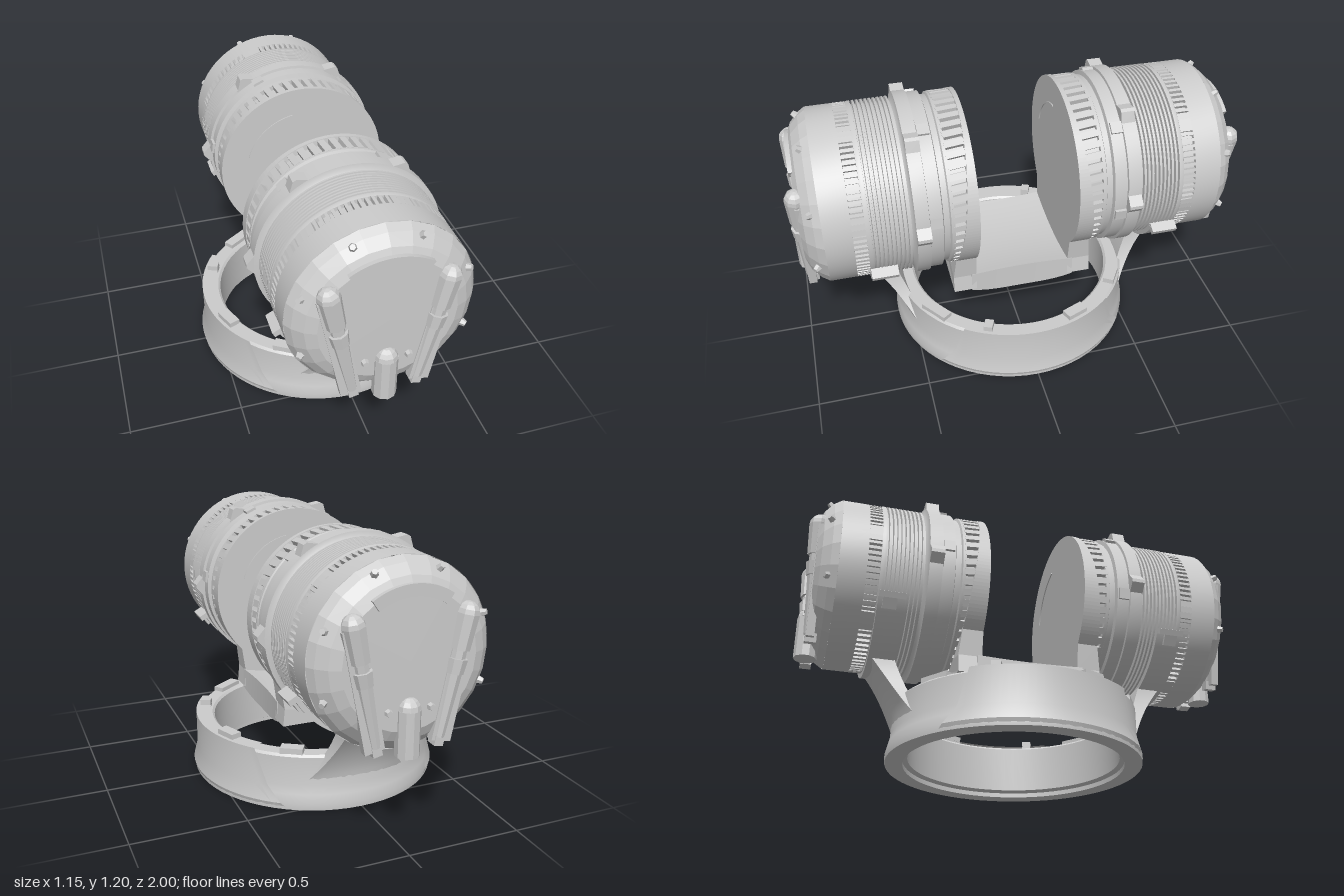
import * as THREE from 'three';
import { toCreasedNormals } from 'three/addons/utils/BufferGeometryUtils.js';

const smooth = new THREE.MeshStandardMaterial({ color: 0xcccccc, side: THREE.DoubleSide });
const flat = new THREE.MeshStandardMaterial({ color: 0xcccccc, flatShading: true, side: THREE.DoubleSide });
const CY = 0.79; // height of the pod axis
const rad = THREE.MathUtils.degToRad;

function add(parent, name, geo, mat = flat, x = 0, y = 0, z = 0) {
  const m = new THREE.Mesh(geo, mat);
  m.name = name;
  m.position.set(x, y, z);
  parent.add(m);
  return m;
}

const lathe = (pts, seg, start = 0, len = Math.PI * 2) =>
  new THREE.LatheGeometry(pts.map(([r, h]) => new THREE.Vector2(r, h)), seg, start, len);
const zLathe = (pts, seg) => toCreasedNormals(lathe(pts, seg).rotateX(Math.PI / 2), 0.5);

// Part of a flat ring, extruded along z
function arcBand(r0, r1, a0, a1, depth) {
  const s = new THREE.Shape();
  s.absarc(0, 0, r1, rad(a0), rad(a1), false);
  s.absarc(0, 0, r0, rad(a1), rad(a0), true);
  return new THREE.ExtrudeGeometry(s, { depth, bevelEnabled: false, curveSegments: 24 });
}

// Block standing on a ring around the z axis
function radialBlock(parent, name, deg, r, size, z) {
  const m = add(parent, name, new THREE.BoxGeometry(...size), flat,
    Math.cos(rad(deg)) * r, Math.sin(rad(deg)) * r, z);
  m.rotation.z = rad(deg);
  return m;
}

function makePod() {
  const pod = new THREE.Group();
  pod.name = 'pod';
  pod.position.y = CY;

  // Body: toothed groove, collar, thin ribs, vent groove and faceted nose
  const prof = [[0, 0.235], [0.366, 0.235], [0.366, 0.325], [0.387, 0.325], [0.387, 0.34],
    [0.376, 0.345], [0.376, 0.37], [0.395, 0.375], [0.395, 0.43], [0.407, 0.432],
    [0.407, 0.49], [0.38, 0.495]];
  for (let i = 0; i < 10; i++) {
    const z = 0.503 + i * 0.018;
    prof.push([0.37, z], [0.37, z + 0.006], [0.388, z + 0.007], [0.388, z + 0.016]);
  }
  prof.push([0.385, 0.692], [0.368, 0.693], [0.368, 0.747], [0.386, 0.748], [0.386, 0.865]);
  add(pod, 'podBody', zLathe(prof, 64), smooth);
  add(pod, 'noseCap', lathe([[0.386, 0.865], [0.365, 0.898], [0.325, 0.935], [0.28, 0.955], [0, 0.957]], 24)
    .rotateX(Math.PI / 2));

  // Teeth of the inner ring, slightly skewed
  for (let i = 0; i < 52; i++) {
    const t = radialBlock(pod, 'ringTooth', i * 360 / 52, 0.374, [0.028, 0.028, 0.092], 0.284);
    t.rotateX(0.1);
  }
  // Bars between the vent slots, with wide bars separating the groups
  for (let i = 0; i < 90; i++) {
    const wide = i % 15 < 3;
    radialBlock(pod, 'ventBar', i * 4 + 8, 0.375, [0.022, wide ? 0.029 : 0.013, 0.056], 0.72);
  }
  // Pointed lugs on the collar
  for (const a of [0, 58, 122, 180]) {
    const s = new THREE.Shape([[0.395, -0.055], [0.437, -0.008], [0.437, 0.008], [0.395, 0.055]]
      .map(([x, y]) => new THREE.Vector2(x, y)));
    const lug = add(pod, 'collarLug', new THREE.ExtrudeGeometry(s, { depth: 0.06, bevelEnabled: false }), flat, 0, 0, 0.43);
    lug.rotation.z = rad(a);
    radialBlock(pod, 'collarPad', a + 8, 0.395, [0.022, 0.05, 0.05], 0.405);
  }

  // Rivets round the nose and on the face
  for (const sx of [-1, 1]) {
    for (const a of [68, 23, -22]) {
      const t = rad(a);
      const rivet = add(pod, 'noseRivet', new THREE.CylinderGeometry(0.012, 0.019, 0.03, 6), flat,
        sx * Math.cos(t) * 0.36, Math.sin(t) * 0.36, 0.908);
      rivet.quaternion.setFromUnitVectors(new THREE.Vector3(0, 1, 0),
        new THREE.Vector3(sx * Math.cos(t), Math.sin(t), 1).normalize());
    }
    add(pod, 'faceRivet', new THREE.CylinderGeometry(0.013, 0.018, 0.025, 6).rotateX(Math.PI / 2),
      flat, sx * 0.09, -0.19, 0.962);

    // Slanted segmented bar on the face
    const bar = new THREE.Group();
    bar.name = 'faceBar';
    bar.position.set(sx * 0.185, -0.085, 0.95);
    bar.rotation.z = -sx * 0.2;
    pod.add(bar);
    add(bar, 'barTray', new THREE.BoxGeometry(0.085, 0.5, 0.035), flat, sx * 0.008, -0.01, -0.008);
    add(bar, 'barHead', new THREE.CylinderGeometry(0.048, 0.042, 0.14, 8), flat, 0, 0.18, 0);
    add(bar, 'barTip', new THREE.SphereGeometry(0.048, 8, 4, 0, Math.PI * 2, 0, Math.PI / 2), flat, 0, 0.25, 0);
    add(bar, 'barNeck', new THREE.CylinderGeometry(0.032, 0.032, 0.1, 8), flat, 0, 0.08, 0);
    add(bar, 'barJoint', new THREE.CylinderGeometry(0.043, 0.038, 0.06, 8), flat, 0, 0.045, 0);
    add(bar, 'barStem', new THREE.CylinderGeometry(0.036, 0.024, 0.26, 8), flat, 0, -0.115, -0.005);
    add(bar, 'barFoot', new THREE.BoxGeometry(0.04, 0.04, 0.05), flat, 0, -0.26, -0.012);
  }
  // Central upright and brow on the face
  add(pod, 'faceUpright', new THREE.CylinderGeometry(0.05, 0.05, 0.19, 10), flat, 0, -0.285, 0.948);
  add(pod, 'faceUprightTip', new THREE.SphereGeometry(0.05, 10, 4, 0, Math.PI * 2, 0, Math.PI / 2), flat, 0, -0.19, 0.948);
  add(pod, 'faceBrow', arcBand(0.25, 0.298, 56, 124, 0.035), flat, 0, 0, 0.93);
  return pod;
}

// Cheek plate: a disc with a foot, thicker towards the bottom
function makeCheekPlate(parent) {
  const s = new THREE.Shape();
  s.moveTo(-0.27, -0.47);
  s.lineTo(0.27, -0.47);
  s.lineTo(0.262, -0.39);
  s.absarc(0, 0, 0.391, -0.78, Math.PI + 0.78, false);
  s.lineTo(-0.262, -0.39);
  const geo = new THREE.ExtrudeGeometry(s, { depth: 1, bevelEnabled: false, curveSegments: 56 });
  const p = geo.attributes.position;
  for (let i = 0; i < p.count; i++) {
    const back = 0.238 + 0.085 * Math.min(1, (0.39 - p.getY(i)) / 0.78);
    p.setZ(i, p.getZ(i) > 0.5 ? back : 0.218);
  }
  geo.computeVertexNormals();
  add(parent, 'cheekPlate', geo, smooth, 0, CY, 0);
  add(parent, 'cheekRidge', arcBand(0.262, 0.27, 15, 80, 0.01), flat, 0, CY, 0.213);
}

// Leaning arm that flares into the base, topped by a curved cradle
function makeArm(parent) {
  const geo = new THREE.BoxGeometry(2, 1, 1, 12, 8, 1);
  const p = geo.attributes.position;
  for (let i = 0; i < p.count; i++) {
    const u = p.getX(i), t = p.getY(i) + 0.5;
    const half = 0.118 + 0.11 * (1 - t) ** 2;
    const x = u * half;
    const curve = (0.55 - Math.sqrt(0.3025 - x * x)) * (1 - t);
    const thick = 0.045 + 0.06 * t * t;
    p.setXYZ(i, x, 0.13 + 0.285 * t, 0.525 + 0.105 * t ** 1.5 - curve + p.getZ(i) * thick);
  }
  geo.computeVertexNormals();
  add(parent, 'arm', geo, smooth);
  add(parent, 'cradle', toCreasedNormals(arcBand(0.384, 0.408, 209, 331, 0.115), 0.5), smooth, 0, CY, 0.575);
  for (const a of [209, 331]) {
    const g = new THREE.Group();
    g.name = 'cradleEnd';
    g.position.y = CY;
    parent.add(g);
    radialBlock(g, 'cradleLip', a, 0.413, [0.045, 0.026, 0.115], 0.633);
    radialBlock(g, 'cradleGrip', a + (a < 270 ? 5 : -5), 0.405, [0.03, 0.05, 0.06], 0.64);
  }
}

// Raised shell panels, lids and tabs on one half of the base ring
function makeBaseTrim(parent) {
  const g = lathe([[0.568, 0.012], [0.574, 0.03], [0.556, 0.1], [0.556, 0.262], [0.49, 0.262]], 24, rad(55), rad(76));
  const p = g.attributes.position;
  for (let i = 0; i < p.count; i++) { // curved leading edges
    const x = p.getX(i), z = p.getZ(i), h = p.getY(i) / 0.26;
    const a = Math.atan2(x, z), r = Math.hypot(x, z);
    const b = a + (a < Math.PI / 2 ? -1 : 1) * Math.abs(a - Math.PI / 2) * 0.4 * (1 - h) ** 2;
    p.setX(i, r * Math.sin(b));
    p.setZ(i, r * Math.cos(b));
  }
  add(parent, 'sidePanel', toCreasedNormals(g, 0.5), smooth);
  for (const [deg, w, h] of [[36, 0.14, 0.27], [66, 0.04, 0.287], [112, 0.1, 0.285], [148, 0.1, 0.275]]) {
    const m = add(parent, 'rimTab', new THREE.BoxGeometry(w, h - 0.2, 0.05), flat,
      Math.sin(rad(deg)) * 0.515, (h + 0.2) / 2, Math.cos(rad(deg)) * 0.515);
    m.rotation.y = rad(deg);
  }
}

export function createModel() {
  const model = new THREE.Group();
  model.name = 'twinPodStand';

  // Base ring
  const ring = lathe([[0.49, 0], [0.568, 0], [0.57, 0.03], [0.56, 0.07], [0.55, 0.11], [0.55, 0.24],
    [0.54, 0.25], [0.48, 0.25], [0.47, 0.24], [0.47, 0.03], [0.49, 0.02], [0.49, 0]], 64);
  add(model, 'baseRing', toCreasedNormals(ring, 0.6), smooth);

  // Saddle joining the cheek plates, hollowed on top and pinched at mid length
  const geo = new THREE.BoxGeometry(2, 1, 0.48, 16, 1, 12);
  const p = geo.attributes.position;
  for (let i = 0; i < p.count; i++) {
    const u = p.getX(i), z = p.getZ(i), k = Math.abs(z) / 0.24;
    const top = 0.375 + 0.03 * u * u;
    const bottom = 0.282 + 0.03 * k ** 3;
    p.setXYZ(i, u * (0.255 + 0.013 * k * k), p.getY(i) > 0 ? top : bottom, z);
  }
  add(model, 'saddle', toCreasedNormals(geo, 0.6), smooth);

  // The two halves are the same, turned half a circle
  for (let i = 0; i < 2; i++) {
    const half = new THREE.Group();
    half.name = i ? 'backHalf' : 'frontHalf';
    half.rotation.y = i * Math.PI;
    half.add(makePod());
    makeCheekPlate(half);
    makeArm(half);
    makeBaseTrim(half);
    model.add(half);
  }
  return model;
}
